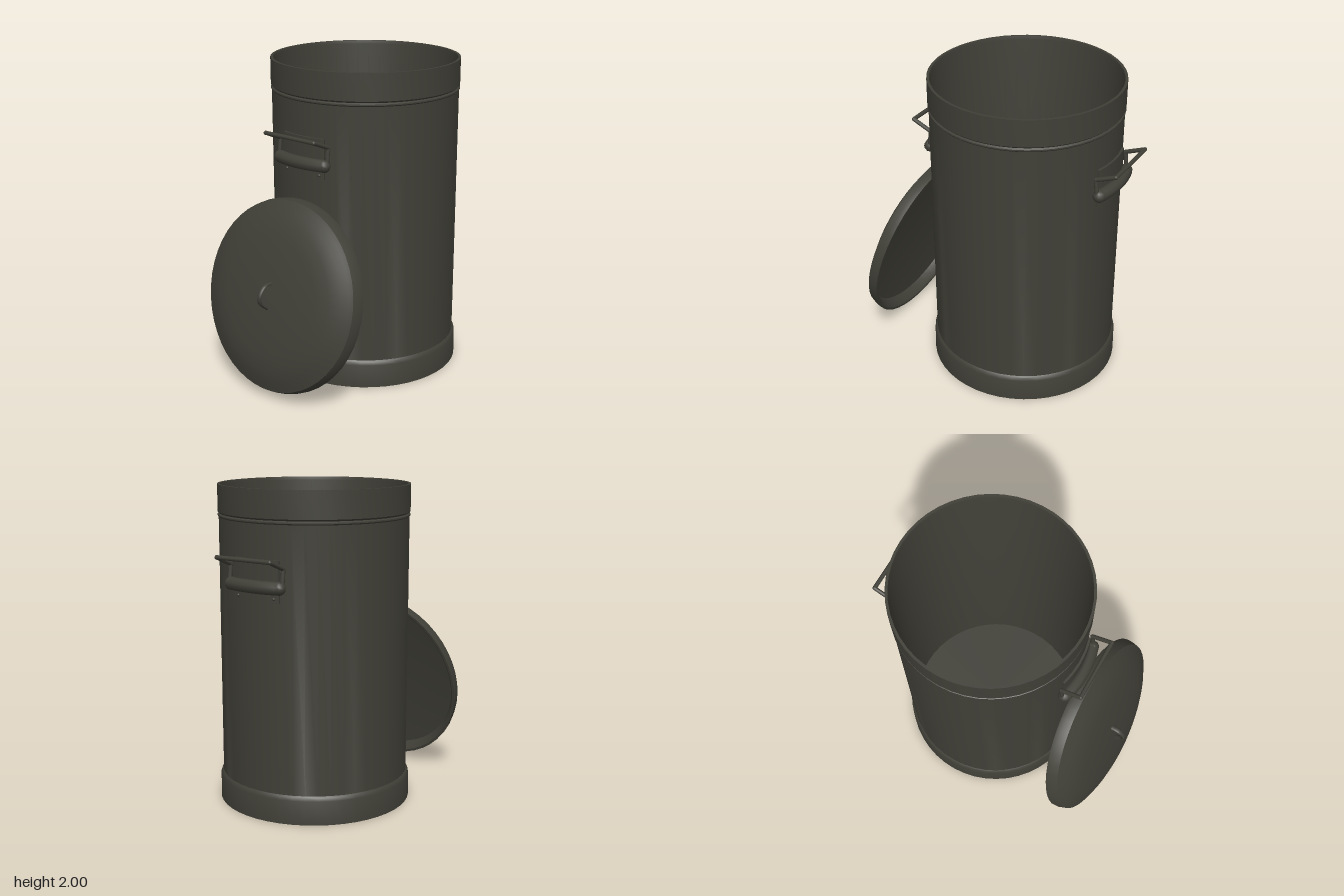
import * as THREE from 'three';
import { toCreasedNormals } from 'three/addons/utils/BufferGeometryUtils.js';

const metal = new THREE.MeshStandardMaterial({ color: 0x403f37 });
metal.name = 'darkMetal';

function part(name, geometry) {
  const mesh = new THREE.Mesh(geometry, metal);
  mesh.name = name;
  return mesh;
}

// Turned part from [radius, height] pairs, with sharp edges kept
function turned(name, profile, segments = 48) {
  const points = profile.map(([r, y]) => new THREE.Vector2(r, y));
  return part(name, toCreasedNormals(new THREE.LatheGeometry(points, segments), 0.5));
}

// Round bar between two points
function rod(name, a, b, radius) {
  const from = new THREE.Vector3(...a), to = new THREE.Vector3(...b);
  const dir = to.clone().sub(from);
  const mesh = part(name, new THREE.CylinderGeometry(radius, radius, dir.length(), 10));
  mesh.position.copy(from).add(to).multiplyScalar(0.5);
  mesh.quaternion.setFromUnitVectors(new THREE.Vector3(0, 1, 0), dir.normalize());
  return mesh;
}

function ball(name, p, radius) {
  const mesh = part(name, new THREE.SphereGeometry(radius, 10, 8));
  mesh.position.set(...p);
  return mesh;
}

// Curved plate that hugs the can wall on the +x side
function curvedPlate(name, r0, r1, half, y0, y1) {
  const shape = new THREE.Shape();
  shape.absarc(0, 0, r1, -half, half, false);
  shape.absarc(0, 0, r0, half, -half, true);
  const geo = new THREE.ExtrudeGeometry(shape, { depth: y1 - y0, bevelEnabled: false, curveSegments: 10 });
  geo.rotateX(-Math.PI / 2);
  geo.translate(0, y0, 0);
  return part(name, toCreasedNormals(geo, 0.5));
}

function createSideHandle(name) {
  const group = new THREE.Group();
  group.name = name;
  group.add(curvedPlate('handlePlate', 0.58, 0.603, 0.275, 1.345, 1.595));

  // Curved barrel that holds the wire
  const R = 0.622, half = 0.29, y = 1.437;
  const arc = [];
  for (let i = 0; i <= 8; i++) {
    const a = -half + (2 * half * i) / 8;
    arc.push(new THREE.Vector3(R * Math.cos(a), y, R * Math.sin(a)));
  }
  group.add(part('handleBarrel', new THREE.TubeGeometry(new THREE.CatmullRomCurve3(arc), 16, 0.04, 10)));
  for (const p of [arc[0], arc[8]]) group.add(ball('barrelEnd', p.toArray(), 0.04));

  // Bent wire bail
  const wire = 0.013;
  const path = [];
  for (const s of [1, -1]) {
    const side = [[0.6, y, 0.17 * s], [0.59, y, 0.195 * s], [0.578, 1.55, 0.195 * s], [0.703, 1.602, 0.195 * s]];
    path.push(...(s === 1 ? side : side.reverse()));
  }
  path.forEach((p, i) => {
    group.add(ball('bailBend', p, wire));
    if (i) group.add(rod('bailWire', path[i - 1], p, wire));
  });

  // Rivets along the lower edge of the plate
  for (const a of [-0.22, 0.22]) {
    group.add(ball('rivet', [0.602 * Math.cos(a), 1.37, 0.602 * Math.sin(a)], 0.01));
  }
  return group;
}

function createLid() {
  const lid = new THREE.Group();
  lid.name = 'lid';
  lid.add(turned('lidShell', [
    [0, 0.085], [0.4, 0.08], [0.55, 0.065], [0.575, 0.012], [0.588, 0],
    [0.604, 0], [0.603, 0.03], [0.59, 0.075], [0.565, 0.086], [0.52, 0.108],
    [0.45, 0.132], [0.36, 0.148], [0.2, 0.16], [0, 0.165],
  ]));
  // Strap grip in the middle of the lid
  const curve = new THREE.CatmullRomCurve3([
    [0.087, 0.146], [0.064, 0.212], [0.006, 0.239], [-0.041, 0.222], [-0.076, 0.156],
  ].map(([x, y]) => new THREE.Vector3(x, y, 0)));
  const grip = part('lidGrip', new THREE.TubeGeometry(curve, 20, 0.008, 8));
  grip.scale.z = 2.1;
  lid.add(grip);

  // Lid leans against the can
  lid.position.set(-0.62, 0.615, 0);
  lid.rotation.z = Math.atan2(0.968, 0.248);
  return lid;
}

export function createModel() {
  const model = new THREE.Group();
  model.name = 'trashCan';

  const can = new THREE.Group();
  can.name = 'can';
  can.position.x = 0.135;
  // Hollow body with base band, bead and top band
  can.add(turned('canBody', [
    [0, 0], [0.608, 0], [0.606, 0.15], [0.598, 0.17], [0.59, 0.178],
    [0.59, 1.8], [0.596, 1.807], [0.596, 1.815], [0.586, 1.822], [0.596, 1.832],
    [0.596, 2], [0.58, 2], [0.576, 1.98], [0.576, 0.03], [0, 0.03],
  ]));
  const left = createSideHandle('leftHandle');
  const right = createSideHandle('rightHandle');
  right.rotation.y = Math.PI;
  can.add(left, right);

  model.add(can, createLid());
  return model;
}
